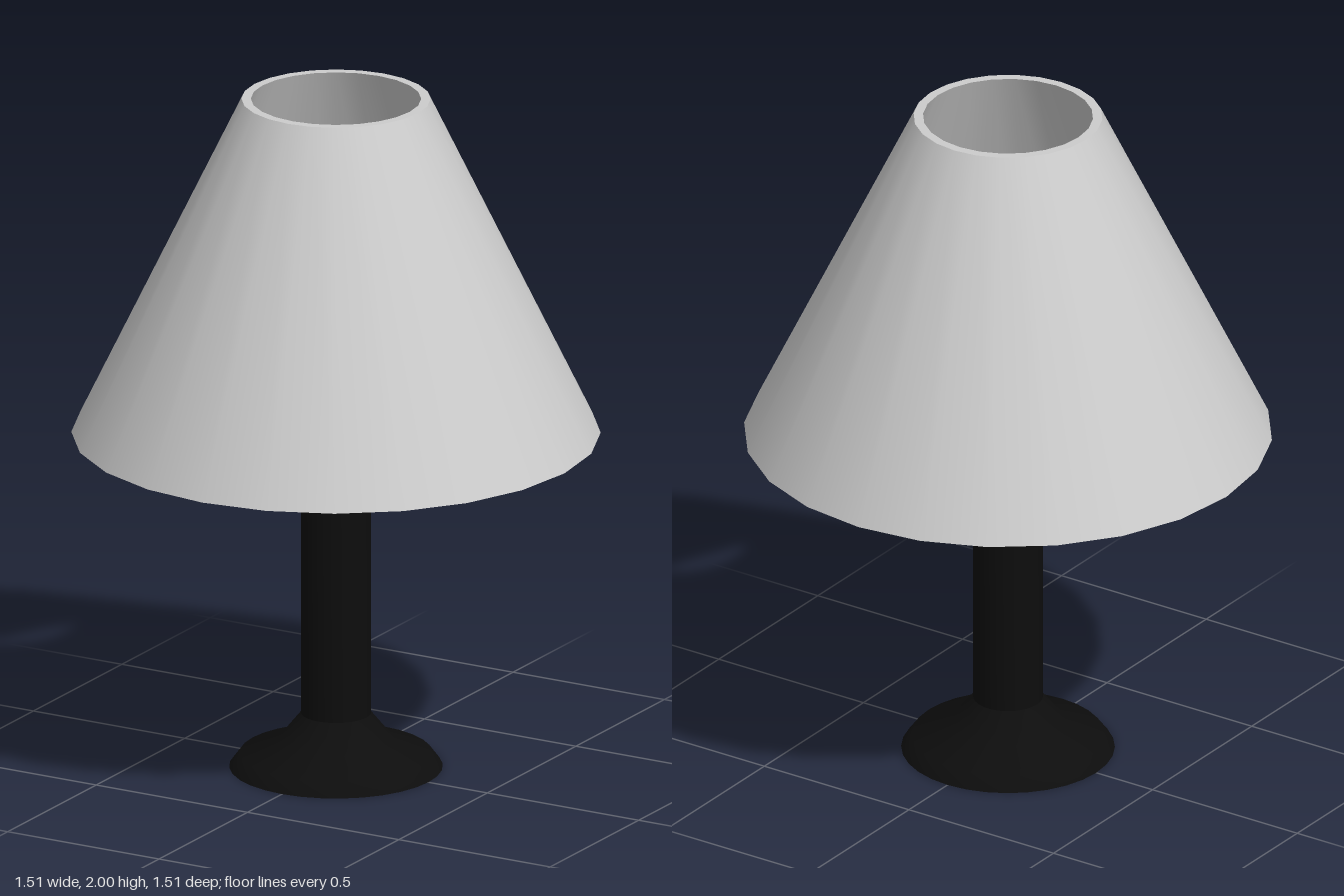
import * as THREE from 'three';
import { toCreasedNormals } from 'three/addons/utils/BufferGeometryUtils.js';

const shadeGrey = new THREE.MeshStandardMaterial({ color: 0xcccccc });
shadeGrey.name = 'shade grey';
const black = new THREE.MeshStandardMaterial({ color: 0x0d0d0d });
black.name = 'stand black';
const yellow = new THREE.MeshStandardMaterial({ color: 0xe0c410 });
yellow.name = 'bulb yellow';

// Turned part from a bottom-to-top [radius, height] profile
function turned(name, profile, segments, material, crease) {
  const points = profile.map(([r, y]) => new THREE.Vector2(r, y));
  const geometry = toCreasedNormals(new THREE.LatheGeometry(points, segments), crease);
  const mesh = new THREE.Mesh(geometry, material);
  mesh.name = name;
  return mesh;
}

export function createModel() {
  const lamp = new THREE.Group();
  lamp.name = 'tableLamp';

  // Flared foot, column and rounded socket
  lamp.add(turned('base', [
    [0, 0], [0.305, 0], [0.275, 0.04], [0.165, 0.08], [0.1, 0.16],
  ], 32, black, 0.7));
  lamp.add(turned('column', [[0.1, 0.16], [0.1, 0.9]], 32, black, 0.7));
  lamp.add(turned('socket', [
    [0.1, 0.9], [0.15, 0.95], [0.165, 1], [0.165, 1.04],
    [0.15, 1.09], [0.11, 1.13], [0, 1.13],
  ], 32, black, 0.7));

  // Bulb: tapered neck running into a round top
  const bulb = [[0.085, 1.12], [0.094, 1.2], [0.108, 1.29], [0.12, 1.36]];
  for (let i = 0; i <= 8; i++) {
    const a = (i / 8) * Math.PI / 2;
    bulb.push([0.126 * Math.cos(a), 1.42 + 0.126 * Math.sin(a)]);
  }
  lamp.add(turned('bulb', bulb, 32, yellow, 0.9));

  // Four arms carrying the shade
  const arms = new THREE.Group();
  arms.name = 'shadeArms';
  const armGeometry = new THREE.CylinderGeometry(0.019, 0.019, 0.56, 8);
  armGeometry.rotateZ(Math.PI / 2).translate(0.39, 1.02, 0);
  for (let i = 0; i < 4; i++) {
    const arm = new THREE.Mesh(armGeometry, black);
    arm.name = 'shadeArm';
    arm.rotation.y = i * Math.PI / 2;
    arms.add(arm);
  }
  lamp.add(arms);

  // Thick conical shade, open at both ends
  lamp.add(turned('shade', [
    [0.755, 1], [0.27, 2], [0.243, 2], [0.68, 1], [0.755, 1],
  ], 24, shadeGrey, 0.7));

  return lamp;
}
